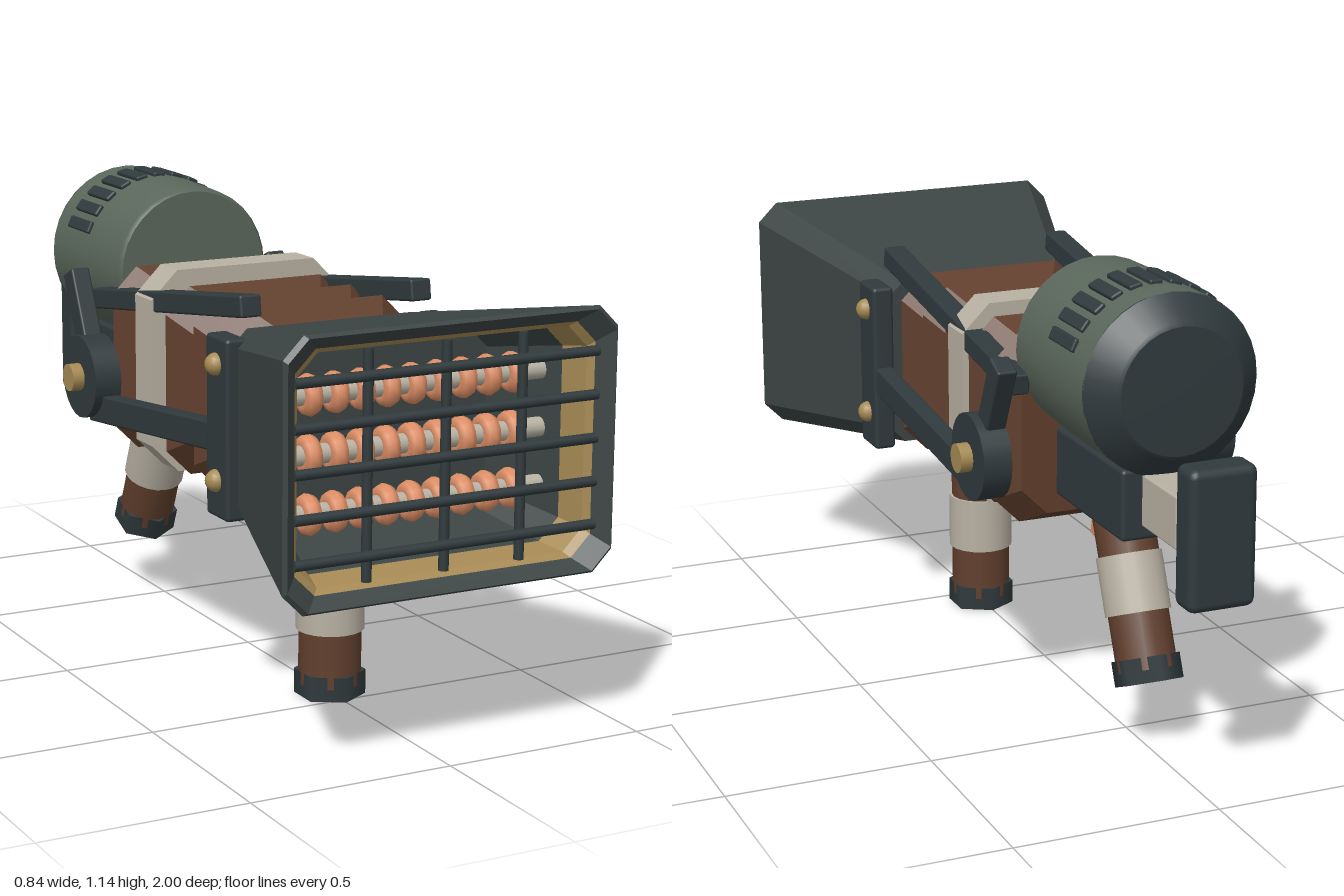
import * as THREE from 'three';
import { RoundedBoxGeometry } from 'three/addons/geometries/RoundedBoxGeometry.js';

const mat = (name, color, flat = false) => {
  const m = new THREE.MeshStandardMaterial({ color, flatShading: flat });
  m.name = name;
  return m;
};

// Joins chamfered rectangles [z, halfWidth, halfHeight, chamfer, centreY] into a faceted skin
function loft(sections, capStart = false, capEnd = false) {
  const rings = sections.map(([z, w, h, c, y]) => [
    [w, c - h], [w, h - c], [w - c, h], [c - w, h],
    [-w, h - c], [-w, c - h], [c - w, -h], [w - c, -h],
  ].map(([px, py]) => [px, py + y, z]));
  const pos = [];
  const tri = (a, b, c) => pos.push(...a, ...b, ...c);
  for (let s = 0; s < rings.length - 1; s++) {
    const A = rings[s], B = rings[s + 1];
    for (let i = 0; i < 8; i++) {
      const j = (i + 1) % 8;
      tri(A[i], A[j], B[j]);
      tri(A[i], B[j], B[i]);
    }
  }
  const last = rings[rings.length - 1];
  for (let i = 1; i < 7; i++) {
    if (capStart) tri(rings[0][0], rings[0][i + 1], rings[0][i]);
    if (capEnd) tri(last[0], last[i], last[i + 1]);
  }
  const g = new THREE.BufferGeometry();
  g.setAttribute('position', new THREE.Float32BufferAttribute(pos, 3));
  g.computeVertexNormals();
  return g;
}

export function createModel() {
  const root = new THREE.Group();
  root.name = 'heatDevice';
  const shell = mat('charcoal shell', 0x3d4545);
  const steel = mat('dark steel', 0x303a3d);
  const green = mat('grey green', 0x5a675b);
  const brown = mat('brown leather', 0x613f2d);
  const cream = mat('cream wrap', 0xb8b1a3);
  const copper = mat('copper', 0xdf8f66);
  const gold = mat('brass', 0xa78b55);

  const add = (name, geo, m, x = 0, y = 0, z = 0, parent = root) => {
    const mesh = new THREE.Mesh(geo, m);
    mesh.name = name;
    mesh.position.set(x, y, z);
    parent.add(mesh);
    return mesh;
  };
  const rbox = (w, h, d, r = 0.01) => new RoundedBoxGeometry(w, h, d, 2, r);
  // Cylinder lying along x
  const xCyl = (r, len, n = 20) => new THREE.CylinderGeometry(r, r, len, n).rotateZ(Math.PI / 2);
  // Bar between two (z, y) points at a given x
  const beam = (name, x, [z1, y1], [z2, y2], thick, width, m) => {
    const len = Math.hypot(z2 - z1, y2 - y1);
    const b = add(name, rbox(width, thick, len, 0.006), m, x, (y1 + y2) / 2, (z1 + z2) / 2);
    b.rotation.x = Math.atan2(-(y2 - y1), z2 - z1);
    return b;
  };

  // Flared front hood with a bevelled rim, brass lining and recessed chamber
  add('hood', loft([
    [0.42, 0.255, 0.215, 0.04, 0.695],
    [0.99, 0.42, 0.307, 0.05, 0.705],
    [1.0, 0.412, 0.3, 0.05, 0.705],
    [0.965, 0.378, 0.272, 0.05, 0.703],
  ], true), shell);
  add('brassLining', loft([
    [0.965, 0.378, 0.272, 0.05, 0.703],
    [0.95, 0.365, 0.26, 0.05, 0.703],
    [0.88, 0.347, 0.25, 0.05, 0.703],
  ]), gold);
  add('chamber', loft([
    [0.88, 0.347, 0.25, 0.05, 0.703],
    [0.66, 0.285, 0.205, 0.04, 0.70],
  ], false, true), shell);

  // Grille bars
  for (const x of [-0.195, 0, 0.195])
    add('grilleUpright', new THREE.CylinderGeometry(0.012, 0.012, 0.52, 10), steel, x, 0.703, 0.955);
  for (let i = 0; i < 5; i++)
    add('grilleCrossbar', xCyl(0.012, 0.765, 10), steel, 0, 0.505 + i * 0.1, 0.97);

  // Heating rods wound with copper rings
  for (const y of [0.57, 0.705, 0.84]) {
    add('heatingRod', xCyl(0.023, 0.66, 16), cream, 0, y, 0.82);
    for (let i = 0; i < 9; i++) {
      const ring = new THREE.TorusGeometry(0.027, 0.021, 8, 16).rotateY(Math.PI / 2);
      add('copperRing', ring, copper, -0.268 + i * 0.065, y, 0.82);
    }
  }

  // Pleated bellows body
  const pleats = [];
  for (let i = 0; i <= 10; i++) {
    const peak = i % 2;
    pleats.push([-0.345 + i * 0.0775, peak ? 0.245 : 0.205, peak ? 0.235 : 0.195, 0.065, 0.708]);
  }
  add('bellows', loft(pleats, true, true), brown);
  add('bellowsBand', loft([
    [-0.105, 0.258, 0.253, 0.07, 0.722],
    [-0.01, 0.258, 0.253, 0.07, 0.722],
  ], true, true), cream);

  // Side linkage, mirrored
  for (const s of [-1, 1]) {
    add('hoodBracket', rbox(0.055, 0.43, 0.11), steel, s * 0.28, 0.69, 0.445);
    for (const y of [0.565, 0.84])
      add('bracketBolt', new THREE.SphereGeometry(0.027, 14, 10), gold, s * 0.307, y, 0.445);
    beam('upperArm', s * 0.225, [0.46, 0.97], [-0.38, 0.848], 0.052, 0.055, steel);
    beam('lowerArm', s * 0.28, [0.45, 0.665], [-0.3, 0.585], 0.07, 0.045, steel);
    add('pivotDisc', xCyl(0.105, 0.07, 24), steel, s * 0.29, 0.665, -0.305);
    add('pivotBolt', xCyl(0.035, 0.06, 16), gold, s * 0.325, 0.665, -0.305);
    beam('lever', s * 0.28, [-0.3, 0.665], [-0.42, 0.915], 0.06, 0.05, steel);
  }

  // Rear drum, end cap and cooling ribs
  const drumY = 0.915;
  const lathe = (pts) => new THREE.LatheGeometry(pts.map((p) => new THREE.Vector2(...p)), 32).rotateX(-Math.PI / 2);
  const drumSkin = [[0, 0.31], [0.2, 0.31], [0.2, 0.31], [0.208, 0.32], [0.215, 0.52], [0.215, 0.72]];
  add('drum', lathe(drumSkin), green, 0, drumY, 0);
  const capSkin = [[0.215, 0.715], [0.215, 0.72], [0.215, 0.72], [0.16, 0.775], [0.15, 0.78], [0.15, 0.78], [0, 0.785]];
  add('drumCap', lathe(capSkin), steel, 0, drumY, 0);
  for (let i = -5; i <= 5; i++) {
    const a = i * 0.228;
    const rib = add('coolingRib', rbox(0.032, 0.022, 0.13, 0.005), steel,
      Math.sin(a) * 0.213, drumY + Math.cos(a) * 0.213, -0.575);
    rib.rotation.z = -a;
  }

  // Rear receiver block and shoulder stock
  add('receiver', rbox(0.23, 0.17, 0.42), steel, 0, 0.64, -0.505);
  add('stockTube', rbox(0.13, 0.125, 0.19, 0.006), cream, 0, 0.65, -0.795);
  add('stockNeck', rbox(0.12, 0.13, 0.05), steel, 0, 0.65, -0.9);
  add('shoulderPad', rbox(0.165, 0.33, 0.085, 0.02), steel, 0, 0.638, -0.957);

  // Handles share one build: shaft, wrap and hexagonal pommel, rising from y = 0
  const handle = (name, height, wrapY, k) => {
    const g = new THREE.Group();
    g.name = name;
    const cyl = (part, r, h, n, m, y) =>
      add(part, new THREE.CylinderGeometry(r * k, r * k, h, n), m, 0, y, 0, g);
    cyl('handleShaft', 0.076, height - 0.03, 16, brown, height / 2 + 0.015);
    cyl('handleWrap', 0.083, 0.14, 20, cream, wrapY);
    cyl('handlePommel', 0.086, 0.06, 6, steel, 0.03);
    root.add(g);
    return g;
  };
  const front = handle('frontHandle', 0.46, 0.235, 1);
  front.position.set(0, 0, 0.435);
  add('handleCollar', new THREE.CylinderGeometry(0.092, 0.086, 0.07, 6), steel, 0, 0.45, 0, front);
  const rear = handle('rearHandle', 0.48, 0.235, 0.95);
  rear.position.set(0, 0.165, -0.628);
  rear.rotation.x = 0.41;

  // Trigger
  beam('trigger', 0, [-0.385, 0.58], [-0.352, 0.44], 0.045, 0.045, copper);
  return root;
}
